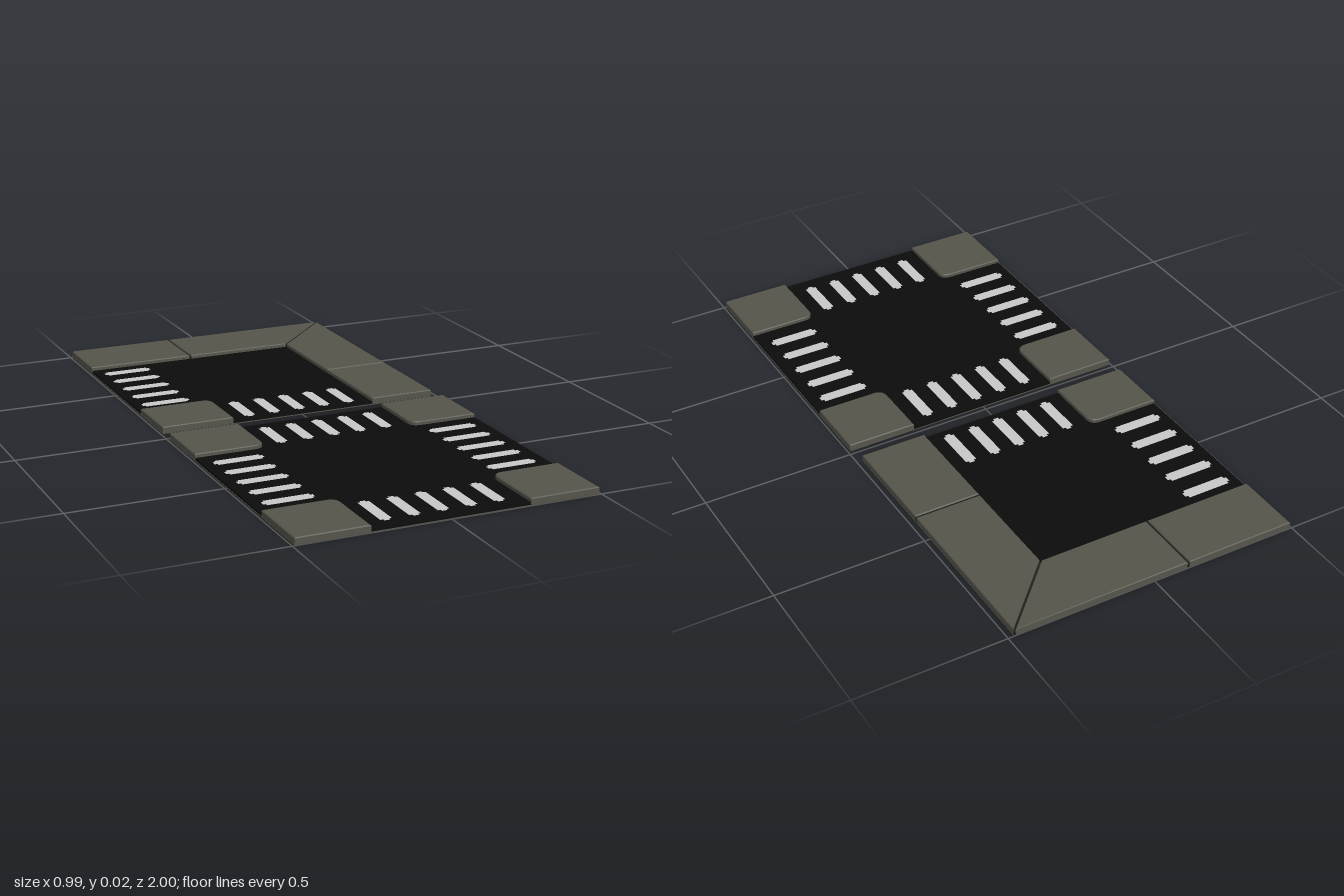
import * as THREE from 'three';

const mat = (name, color) => new THREE.MeshStandardMaterial({ name, color });

export function createModel() {
  const paving = mat('paving', 0x55554b);
  const asphalt = mat('asphalt', 0x0c0c0c);
  const paint = mat('road paint', 0xc8c8c8);
  const joint = mat('paving joint', 0x20201d);
  const ROAD = 0.011, TOP = 0.024, BEVEL = 0.003;

  // Box given by its extents on the ground plane and in height
  function block(parent, name, material, x0, x1, z0, z1, y0, y1) {
    const mesh = new THREE.Mesh(new THREE.BoxGeometry(x1 - x0, y1 - y0, z1 - z0), material);
    mesh.position.set((x0 + x1) / 2, (y0 + y1) / 2, (z0 + z1) / 2);
    mesh.name = name;
    parent.add(mesh);
    return mesh;
  }

  // Bevelled paving slab from [x, z, cornerRadius] points
  function slab(parent, name, points) {
    const pts = points.map(([x, z]) => new THREE.Vector2(x, -z));
    const shape = new THREE.Shape();
    pts.forEach((p, i) => {
      const r = points[i][2] || 0;
      const prev = pts[(i + pts.length - 1) % pts.length], next = pts[(i + 1) % pts.length];
      const a = prev.clone().sub(p).setLength(r).add(p);
      const b = next.clone().sub(p).setLength(r).add(p);
      if (i === 0) shape.moveTo(a.x, a.y); else shape.lineTo(a.x, a.y);
      if (r) shape.quadraticCurveTo(p.x, p.y, b.x, b.y);
    });
    const geo = new THREE.ExtrudeGeometry(shape, {
      depth: TOP - 2 * BEVEL - 0.0005, bevelThickness: BEVEL, bevelSize: BEVEL,
      bevelOffset: -BEVEL, bevelSegments: 1, curveSegments: 6,
    });
    geo.rotateX(-Math.PI / 2).translate(0, BEVEL + 0.0005, 0);
    const mesh = new THREE.Mesh(geo, paving);
    mesh.name = name;
    parent.add(mesh);
  }

  // Square kerb corner: outer corner (x0, z0), rounded inner corner (x1, z1)
  const kerbCorner = (parent, x0, z0, x1, z1) =>
    slab(parent, 'kerbCorner', [[x0, z0], [x1, z0], [x1, z1, 0.035], [x0, z1]]);

  // Five zebra bars centred on `at`, with narrower tips; alongX sets their direction
  function crossing(parent, alongX, centre, at, step) {
    const group = new THREE.Group();
    group.name = 'zebraCrossing';
    for (let i = -2; i <= 2; i++) {
      const t = at + i * step;
      for (const [half, width, h] of [[0.074, 0.0185, 0.001], [0.083, 0.009, 0.0008]]) {
        const u = [centre - half, centre + half], v = [t - width, t + width];
        const [x, z] = alongX ? [u, v] : [v, u];
        block(group, 'zebraBar', paint, ...x, ...z, ROAD, ROAD + h);
      }
    }
    parent.add(group);
  }

  // Base plate with the road surface on it
  function tile(name, x0, x1, z0, z1) {
    const group = new THREE.Group();
    group.name = name;
    block(group, 'basePlate', paving, x0, x1, z0, z1, 0, 0.003);
    const e = 0.001;
    block(group, 'roadSurface', asphalt, x0 + e, x1 - e, z0 + e, z1 - e, 0.003, ROAD);
    return group;
  }

  const model = new THREE.Group();
  model.name = 'roadTiles';

  // Four-way junction at the front
  const L = -0.493, R = 0.492;
  const junction = tile('junctionTile', L, R, 0.015, 1);
  for (const [xo, xi] of [[L, -0.257], [R, 0.26]])
    for (const [zo, zi] of [[0.015, 0.238], [1, 0.765]]) kerbCorner(junction, xo, zo, xi, zi);
  crossing(junction, false, 0.132, 0, 0.0925);
  crossing(junction, false, 0.872, 0, 0.0925);
  crossing(junction, true, -0.376, 0.498, 0.095);
  crossing(junction, true, 0.372, 0.498, 0.095);
  model.add(junction);

  // Road bend at the back
  const E = 0.481, B = -1, F = -0.05, xi = 0.258, zi = -0.775, g = 0.0035;
  const jx = -0.12, jz = -0.41;
  const bend = tile('bendTile', L, E, B, F);
  kerbCorner(bend, L, F, -0.247, -0.26);
  slab(bend, 'backPavingLeft', [[L, B], [jx - g, B], [jx - g, zi], [L, zi]]);
  slab(bend, 'backPavingRight', [[jx + g, B], [E - 1.4 * g, B], [xi - 1.4 * g, zi], [jx + g, zi]]);
  slab(bend, 'sidePavingBack', [[E, B + 1.4 * g], [E, jz - g], [xi, jz - g], [xi, zi + 1.4 * g]]);
  slab(bend, 'sidePavingFront', [[E, jz + g], [E, F], [xi, F], [xi, jz + g]]);

  // Dark joints between the slabs
  const jt = 0.02;
  block(bend, 'backJoint', joint, jx - 0.005, jx + 0.005, B + 0.001, zi - 0.001, 0.003, jt);
  block(bend, 'sideJoint', joint, xi + 0.001, E - 0.001, jz - 0.005, jz + 0.005, 0.003, jt);
  const len = Math.hypot(E - xi, zi - B) - 0.012;
  const mitre = block(bend, 'mitreJoint', joint, -len / 2, len / 2, -0.005, 0.005, 0.003, jt);
  mitre.position.x = (xi + E) / 2;
  mitre.position.z = (zi + B) / 2;
  mitre.rotation.y = Math.atan2(zi - B, E - xi);

  crossing(bend, true, -0.381, -0.523, 0.0965);
  crossing(bend, false, -0.158, 0.006, 0.0905);
  model.add(bend);

  return model;
}
